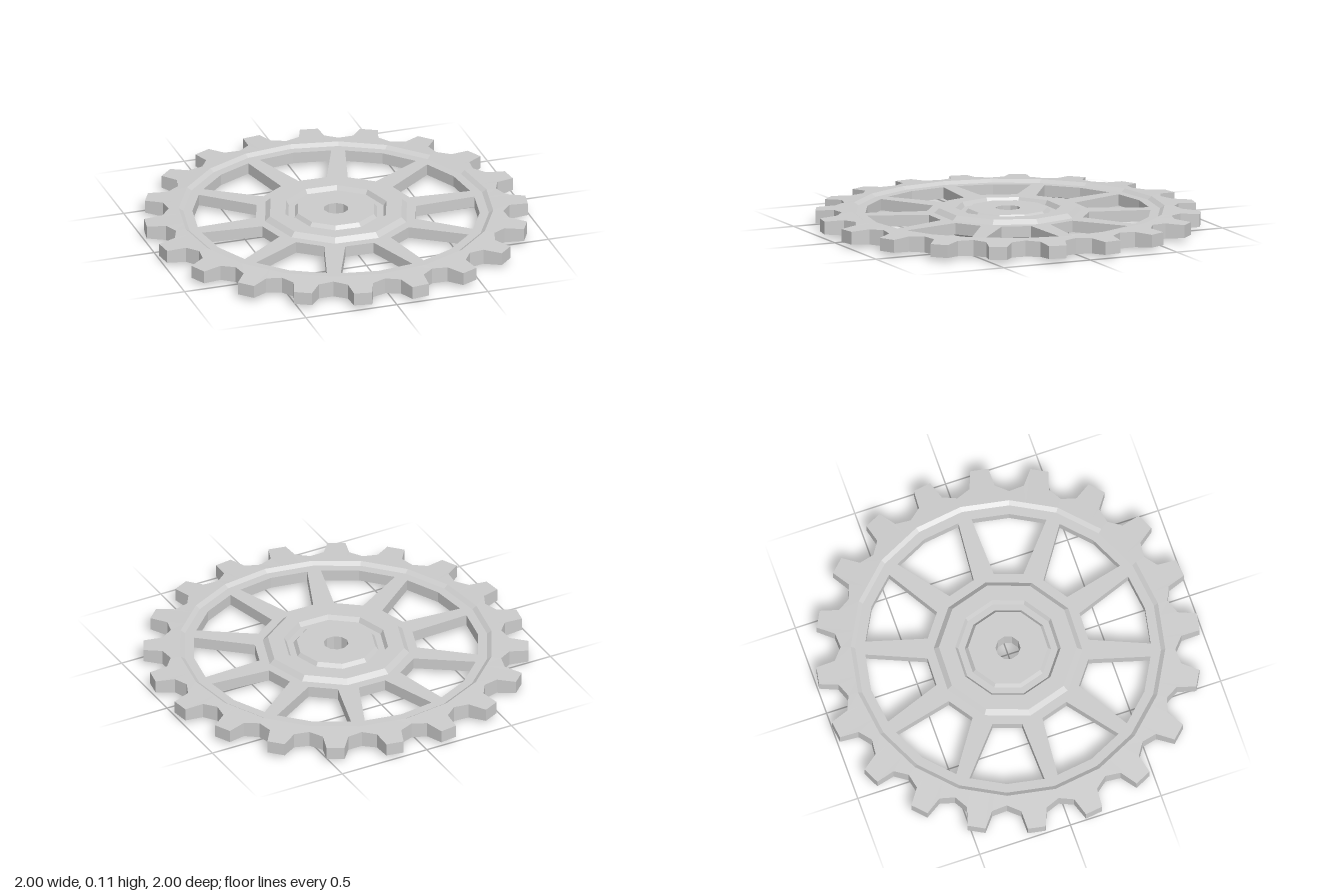
import * as THREE from 'three';

const TEETH = 20, SPOKES = 10, MID = 0.054, WEB = 0.03; // WEB: half thickness of the spoke plane
const rad = THREE.MathUtils.degToRad;

// Upper half profile [radius, half height], outer to inner, mirrored into a closed loop
function closedProfile(half) {
  const lower = half.map(([r, h]) => [r, -h]).reverse();
  return [...half, ...lower, half[0]];
}

// Toothed rim: one cross-section per corner of the tooth outline
function rimGeometry() {
  const step = 360 / TEETH;
  const outline = [[0, 0.872], [4.8, 0.906], [6.3, 1.004], [11.7, 1.004], [13.2, 0.906]];
  const positions = [], index = [];
  let n = 0;
  for (let t = 0; t < TEETH; t++) {
    for (const [a, outer] of outline) {
      // keeps the inner edges straight between the tooth gaps
      const chord = Math.cos(rad(step / 2)) / Math.cos(rad(step / 2 - a));
      const loop = closedProfile([
        [outer, 0.046 - (outer - 0.82) * 0.065],
        [0.82 * chord, 0.046], [0.797 * chord, WEB], [0.749 * chord, WEB],
      ]);
      n = loop.length;
      const phi = rad(t * step + a);
      for (const [r, y] of loop) positions.push(r * Math.sin(phi), y, r * Math.cos(phi));
    }
  }
  const rings = TEETH * outline.length;
  for (let i = 0; i < rings; i++) {
    for (let j = 0; j < n - 1; j++) {
      const a = i * n + j, b = ((i + 1) % rings) * n + j;
      index.push(a, b, a + 1, b + 1, a + 1, b);
    }
  }
  const g = new THREE.BufferGeometry();
  g.setAttribute('position', new THREE.Float32BufferAttribute(positions, 3));
  g.setIndex(index);
  g.computeVertexNormals();
  return g;
}

// Ten-sided hub: raised collar, groove, centre boss and axle hole
function hubGeometry() {
  const half = [
    [0.437, WEB], [0.387, WEB], [0.36, 0.054], [0.275, 0.054], [0.26, WEB],
    [0.225, WEB], [0.208, 0.05], [0.065, 0.05],
  ];
  const points = closedProfile(half).map(([r, y]) => new THREE.Vector2(r, y));
  return new THREE.LatheGeometry(points, SPOKES);
}

// Tapered spoke that meets the hub corner and the rim corner
function spokeGeometry() {
  const shape = new THREE.Shape([
    [0, 0.437], [0.055, 0.419], [0.036, 0.744], [0, 0.749], [-0.036, 0.744], [-0.055, 0.419],
  ].map(([x, y]) => new THREE.Vector2(x, y)));
  const g = new THREE.ExtrudeGeometry(shape, { depth: 2 * WEB, bevelEnabled: false });
  return g.translate(0, 0, -WEB).rotateX(-Math.PI / 2);
}

export function createModel() {
  const group = new THREE.Group();
  group.name = 'gearWheel';
  const wheel = new THREE.Group();
  wheel.name = 'wheel';
  wheel.position.y = MID;
  wheel.rotation.y = rad(16.6);
  group.add(wheel);

  const material = new THREE.MeshStandardMaterial({ color: 0xcccccc, flatShading: true });
  const add = (name, geometry) => {
    const mesh = new THREE.Mesh(geometry, material);
    mesh.name = name;
    wheel.add(mesh);
    return mesh;
  };

  add('toothedRim', rimGeometry());
  add('hub', hubGeometry());
  const spoke = spokeGeometry();
  for (let i = 0; i < SPOKES; i++) {
    add('spoke' + (i + 1), spoke).rotation.y = (i / SPOKES) * Math.PI * 2;
  }
  return group;
}
